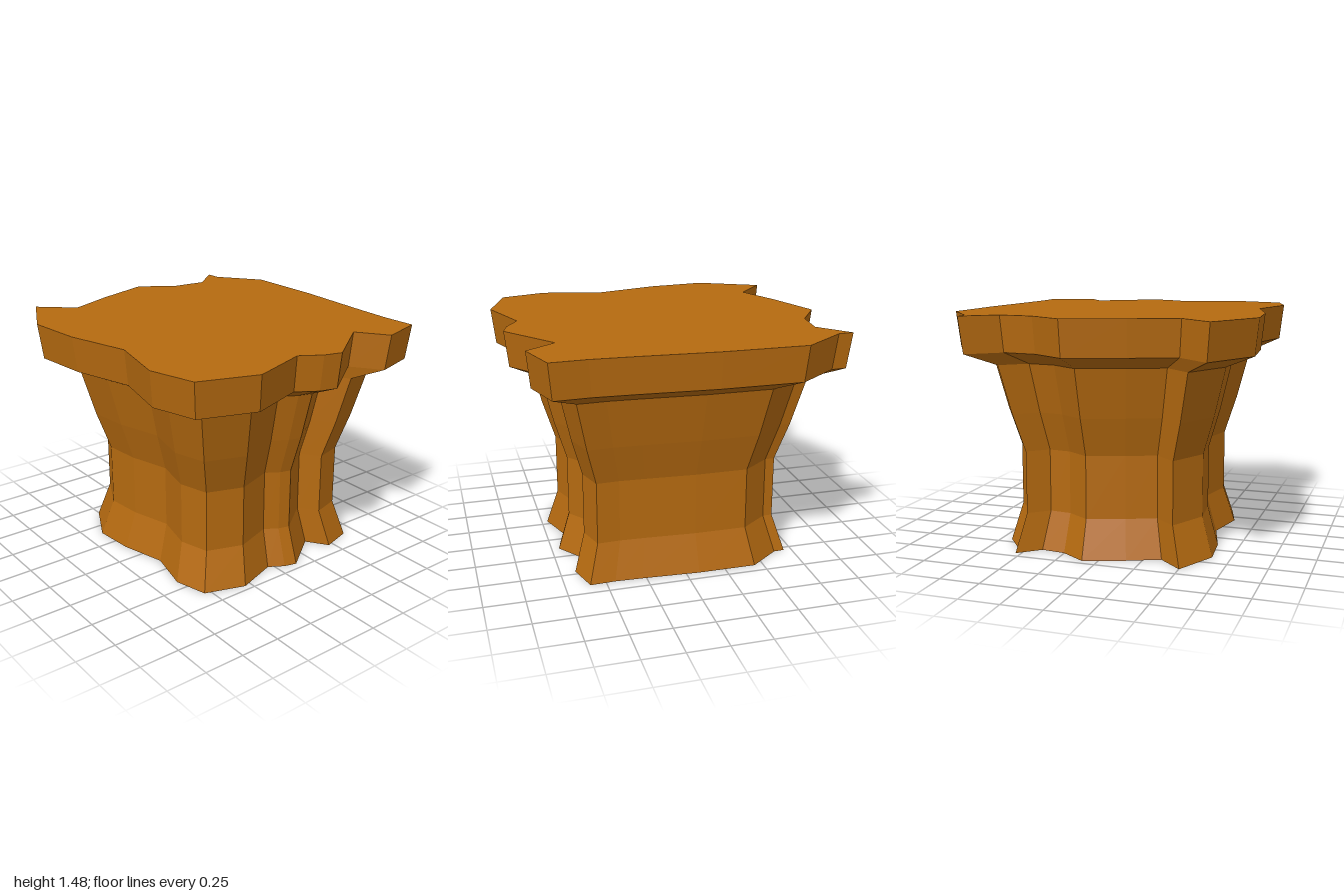
import * as THREE from 'three';

// Irregular plan outline [x, z] of the top slab, clockwise from above
const OUTLINE = [
  [-0.63, -0.93], [-0.12, -0.93], [0.38, -0.9], [0.62, -0.89], [0.84, -0.9], [0.92, -0.63],
  [0.735, -0.5], [0.985, -0.16], [0.955, -0.05], [0.875, 0.08], [1, 0.44], [0.88, 0.79],
  [0.59, 0.87], [0.2, 0.78], [-0.2, 0.89], [-0.565, 0.925], [-0.945, 0.735], [-0.76, 0.53],
  [-0.88, 0.25], [-1, -0.105], [-0.855, -0.325], [-0.83, -0.54], [-0.99, -0.725], [-0.895, -0.73],
];
const PIVOT = [0.01, -0.07]; // the outline shrinks toward this point

const ringAt = (s) => OUTLINE.map(([x, z]) => [
  PIVOT[0] + (x - PIVOT[0]) * s,
  PIVOT[1] + (z - PIVOT[1]) * s,
]);

// Walls through a list of [height, scale] levels
function wallGeometry(levels) {
  const positions = [];
  const n = OUTLINE.length;
  for (let k = 0; k < levels.length - 1; k++) {
    const [y0, s0] = levels[k];
    const [y1, s1] = levels[k + 1];
    const low = ringAt(s0), high = ringAt(s1);
    for (let i = 0; i < n; i++) {
      const j = (i + 1) % n;
      const a0 = [low[i][0], y0, low[i][1]], b0 = [low[j][0], y0, low[j][1]];
      const a1 = [high[i][0], y1, high[i][1]], b1 = [high[j][0], y1, high[j][1]];
      positions.push(...b0, ...a0, ...a1, ...b0, ...a1, ...b1);
    }
  }
  const geometry = new THREE.BufferGeometry();
  geometry.setAttribute('position', new THREE.Float32BufferAttribute(positions, 3));
  geometry.computeVertexNormals();
  return geometry;
}

// Flat cap facing up (dir = 1) or down (dir = -1)
function capGeometry(y, s, dir) {
  const shape = new THREE.Shape(ringAt(s).map(([x, z]) => new THREE.Vector2(x, -dir * z)));
  return new THREE.ShapeGeometry(shape).rotateX(-dir * Math.PI / 2).translate(0, y, 0);
}

export function createModel() {
  const group = new THREE.Group();
  group.name = 'rockPedestal';
  const material = new THREE.MeshStandardMaterial({ color: 0xb56a10, flatShading: true });
  const add = (name, geometry) => {
    const mesh = new THREE.Mesh(geometry, material);
    mesh.name = name;
    group.add(mesh);
  };

  add('underside', capGeometry(0, 0.71, -1));
  add('flaredFoot', wallGeometry([[0, 0.71], [0.24, 0.635]]));
  add('waist', wallGeometry([[0.24, 0.635], [0.63, 0.635]]));
  add('flaredNeck', wallGeometry([[0.63, 0.635], [0.87, 0.71], [1.175, 0.787]]));
  add('slabRim', wallGeometry([[1.175, 0.787], [1.255, 0.975], [1.475, 1]]));
  add('slabTop', capGeometry(1.475, 1, 1));
  return group;
}
